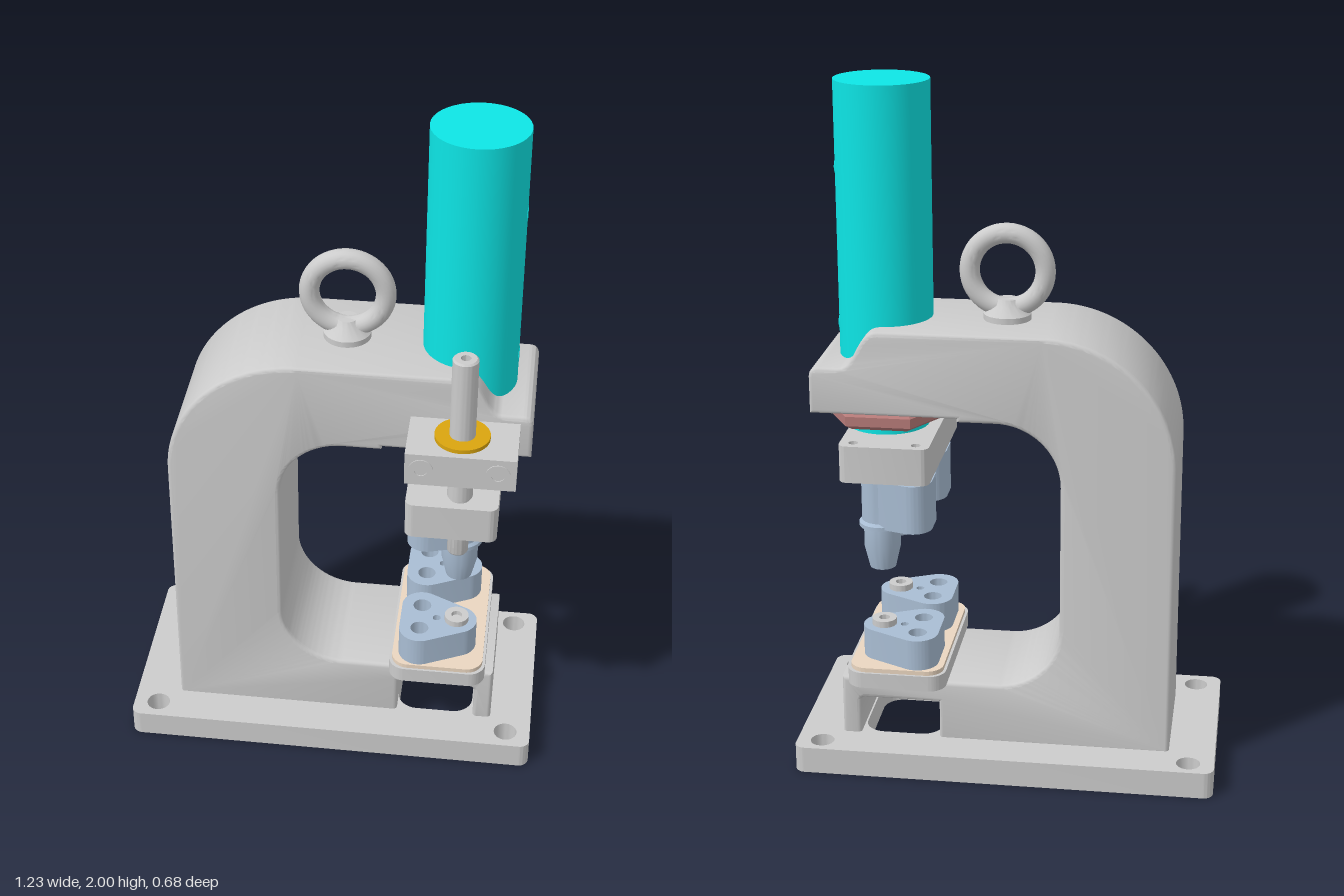
import * as THREE from 'three';
import { toCreasedNormals } from 'three/addons/utils/BufferGeometryUtils.js';

const ZC = -0.03;  // centre plane of the press
const RAM_X = 0.37; // axis of the ram
const PUNCH_Z = [0.1, -0.16];

export function createModel() {
  const press = new THREE.Group();
  press.name = 'benchPress';
  const mat = (color) => new THREE.MeshStandardMaterial({ color });
  const grey = mat(0xcccccc), cyan = mat(0x0de5e5), red = mat(0xb57a78);
  const gold = mat(0xdaa50f), blue = mat(0xa9bdd3), tan = mat(0xead6c0);

  const add = (name, geo, material = grey, crease = 0.6) => {
    const mesh = new THREE.Mesh(toCreasedNormals(geo, crease), material);
    mesh.name = name;
    press.add(mesh);
    return mesh;
  };
  const rounded = (x0, x1, z0, z1, r, T = THREE.Shape) => {
    const s = new T();
    s.absarc(x1 - r, z1 - r, r, 0, Math.PI / 2);
    s.absarc(x0 + r, z1 - r, r, Math.PI / 2, Math.PI);
    s.absarc(x0 + r, z0 + r, r, Math.PI, Math.PI * 1.5);
    s.absarc(x1 - r, z0 + r, r, Math.PI * 1.5, Math.PI * 2);
    s.closePath();
    return s;
  };
  const hole = (x, z, r) => new THREE.Path().absarc(x, z, r, 0, Math.PI * 2, true);
  // Horizontal slab from an outline in x and z
  const slab = (shape, y0, y1) =>
    new THREE.ExtrudeGeometry(shape, { depth: y1 - y0, bevelEnabled: false, curveSegments: 12 })
      .rotateX(Math.PI / 2).translate(0, y1, 0);
  // Turned part from [radius, height] pairs, bottom to top
  const turned = (x, z, pts, seg = 40) =>
    new THREE.LatheGeometry(pts.map((p) => new THREE.Vector2(...p)), seg).translate(x, 0, z);
  const rod = (x, z, r, y0, y1) => turned(x, z, [[0, y0], [r, y0], [r, y1], [0, y1]]);
  // Rounded triangle around three corner points (counter-clockwise)
  const lobed = (pts, r) => {
    const s = new THREE.Shape();
    const normal = (a, b) => Math.atan2(b[1] - a[1], b[0] - a[0]) - Math.PI / 2;
    pts.forEach((p, i) => {
      const from = normal(pts[(i + 2) % 3], p), to = normal(p, pts[(i + 1) % 3]);
      s.absarc(p[0], p[1], r, from, to < from ? to + Math.PI * 2 : to);
    });
    s.closePath();
    return s;
  };

  // Base plate with corner holes and a chip slot
  const base = rounded(-0.615, 0.615, -0.34, 0.28, 0.03);
  for (const x of [-0.54, 0.54]) for (const z of [-0.285, 0.22]) base.holes.push(hole(x, z, 0.035));
  base.holes.push(rounded(0.2, 0.43, -0.21, 0.15, 0.06, THREE.Path));
  add('basePlate', slab(base, 0, 0.08));

  // C-shaped frame with a slot under the work table
  const c = new THREE.Shape();
  c.moveTo(-0.48, 0.07);
  c.lineTo(0.2, 0.07);
  c.lineTo(0.2, 0.195);
  c.lineTo(0.42, 0.195);
  c.quadraticCurveTo(0.435, 0.195, 0.435, 0.18);
  c.lineTo(0.435, 0.07);
  c.lineTo(0.49, 0.07);
  c.lineTo(0.49, 0.26);
  c.lineTo(0.03, 0.26);
  c.absarc(0.03, 0.445, 0.185, Math.PI * 1.5, Math.PI, true);
  c.lineTo(-0.155, 0.885);
  c.absarc(0.03, 0.885, 0.185, Math.PI, Math.PI / 2, true);
  c.lineTo(0.14, 1.07);
  c.lineTo(0.14, 1.08);
  c.lineTo(0.56, 1.08);
  c.lineTo(0.56, 1.185);
  c.quadraticCurveTo(0.56, 1.215, 0.53, 1.215);
  c.lineTo(0.48, 1.215);
  c.bezierCurveTo(0.42, 1.215, 0.425, 1.325, 0.36, 1.325);
  c.lineTo(-0.1, 1.325);
  c.absarc(-0.1, 0.945, 0.38, Math.PI / 2, Math.PI);
  c.closePath();
  const b = 0.012;
  add('frame', new THREE.ExtrudeGeometry(c, {
    depth: 0.385 - 2 * b, bevelThickness: b, bevelSize: b, bevelOffset: -b, bevelSegments: 3, curveSegments: 20,
  }).translate(0, 0, ZC - 0.1925 + b));

  // Lifting eye
  add('liftingEyeRing', new THREE.TorusGeometry(0.108, 0.029, 20, 48).translate(0.02, 1.465, ZC));
  add('liftingEyeFoot', turned(0.02, ZC, [[0, 1.32], [0.068, 1.32], [0.068, 1.342], [0.04, 1.368], [0.03, 1.385], [0, 1.385]]));

  // Ram cylinder, its two ports, collar and hexagonal lock nut
  add('ramCylinder', rod(RAM_X, ZC, 0.135, 1.09, 2), cyan);
  for (const y of [1.3, 1.75]) {
    add('cylinderPort', new THREE.TorusGeometry(0.021, 0.003, 8, 24)
      .rotateY(Math.PI / 2).translate(RAM_X + 0.133, y, ZC), cyan);
  }
  add('ramCollar', turned(RAM_X, ZC, [[0, 0.98], [0.075, 0.98], [0.075, 1.0], [0.12, 1.0], [0.12, 1.03], [0, 1.03]]), cyan);
  const nut = new THREE.LatheGeometry(
    [[0, 1.02], [0.16, 1.02], [0.187, 1.036], [0.187, 1.064], [0.16, 1.08], [0, 1.08]].map((p) => new THREE.Vector2(...p)), 6)
    .rotateY(Math.PI / 6).translate(RAM_X, 0, ZC);
  add('lockNut', nut, red, 0.2);

  // Ram plate that carries the punches
  const ram = rounded(0.22, 0.48, -0.235, 0.3, 0.025);
  for (const z of [-0.2, 0.14]) for (const x of [0.26, 0.44]) ram.holes.push(hole(x, z, 0.014));
  add('ramPlate', slab(ram, 0.88, 0.99));
  add('ramSetScrew', new THREE.CylinderGeometry(0.013, 0.013, 0.01, 20)
    .rotateZ(Math.PI / 2).translate(0.477, 0.95, ZC));

  // Guide bracket with two socket screws
  add('guideBracket', new THREE.BoxGeometry(0.305, 0.1, 0.18).translate(0.3725, 1.145, 0.25));
  for (const x of [0.265, 0.475]) {
    const ring = new THREE.Shape().absarc(0, 0, 0.034, 0, Math.PI * 2);
    ring.holes.push(hole(0, 0, 0.018));
    add('bracketScrew', new THREE.ExtrudeGeometry(ring, { depth: 0.004, bevelEnabled: false })
      .translate(x, 1.145, 0.339));
  }

  // Guide rod with a bored tip, and its bushing
  add('guideRod', turned(RAM_X, 0.245, [[0, 0.8], [0.026, 0.8], [0.03, 0.806], [0.03, 1.0], [0.036, 1.0],
    [0.036, 1.45], [0.031, 1.455], [0.014, 1.455], [0.014, 1.43], [0, 1.43]]));
  add('guideBushing', turned(RAM_X, 0.245, [[0, 1.19], [0.077, 1.19], [0.077, 1.207], [0, 1.207]]), gold);

  // Work table and backing sheet
  add('workTable', slab(rounded(0.175, 0.465, -0.285, 0.225, 0.05), 0.26, 0.307));
  add('backingSheet', slab(rounded(0.183, 0.457, -0.278, 0.218, 0.05), 0.306, 0.32), tan);
  add('tableKey', new THREE.BoxGeometry(0.1, 0.05, 0.34).translate(0.315, 0.226, ZC));

  for (const z of PUNCH_Z) {
    // Lower die: three-lobed block with bores and a locating pin
    const die = lobed([[RAM_X, z], [0.262, z + 0.052], [0.262, z - 0.052]], 0.061);
    die.holes.push(hole(0.262, z + 0.052, 0.027), hole(0.262, z - 0.052, 0.027), hole(0.31, z, 0.012));
    add('lowerDie', slab(die, 0.318, 0.413), blue);
    add('diePin', turned(RAM_X, z, [[0, 0.4], [0.036, 0.4], [0.036, 0.432], [0.016, 0.432], [0.016, 0.418], [0, 0.418]]));

    // Upper punch: three-lobed holder with a stepped, tapered nose
    const holder = lobed([[RAM_X, z], [0.272, z + 0.03], [0.272, z - 0.03]], 0.055);
    holder.holes.push(hole(0.272, z + 0.03, 0.02), hole(0.272, z - 0.03, 0.02));
    add('punchHolder', slab(holder, 0.735, 0.88), blue);
    add('punchNose', turned(RAM_X, z, [[0, 0.6], [0.022, 0.6], [0.038, 0.6], [0.053, 0.665], [0.053, 0.725],
      [0.066, 0.73], [0.066, 0.742], [0.058, 0.75], [0.058, 0.88], [0, 0.88]]), blue);
  }
  return press;
}
